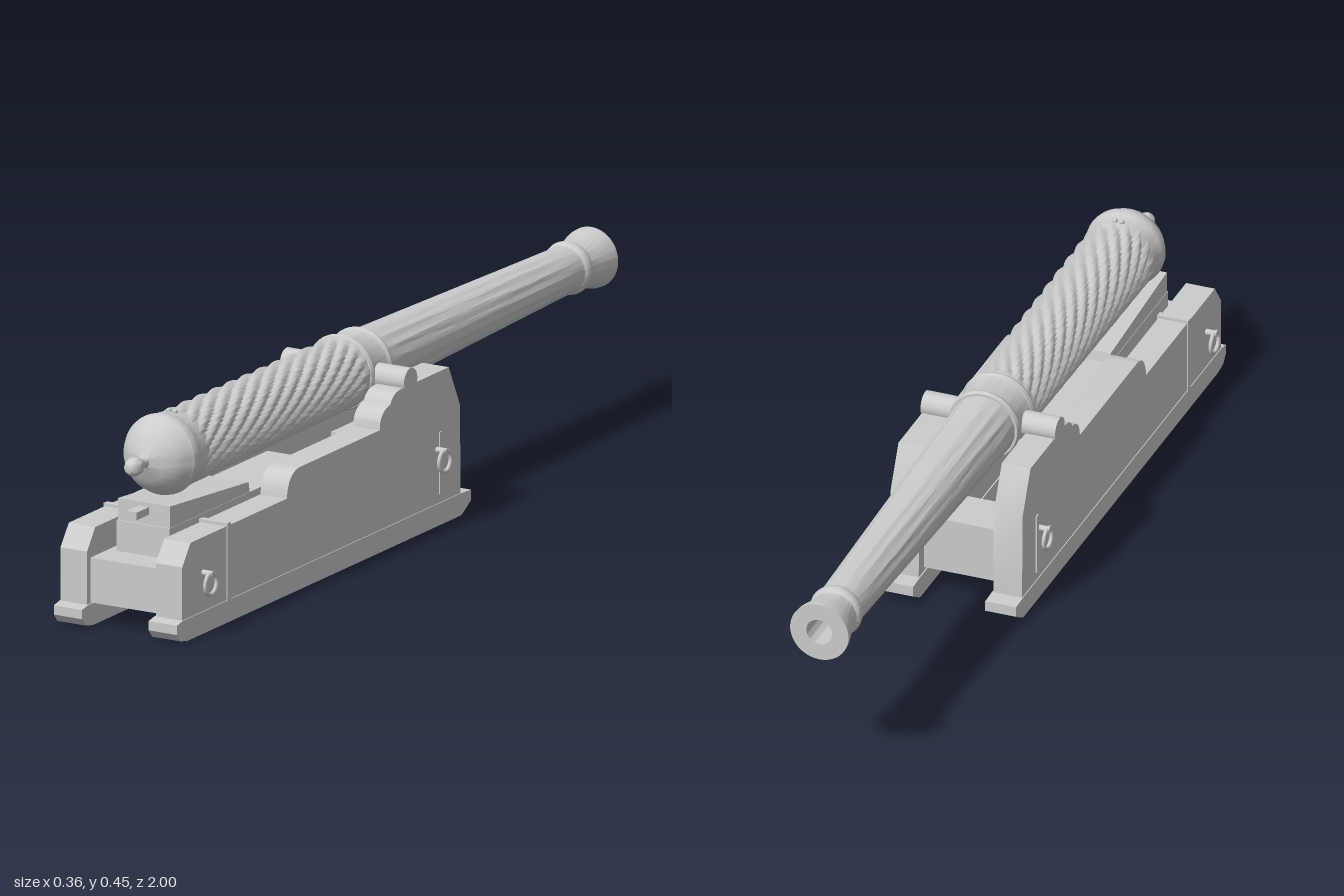
import * as THREE from 'three';
import { toCreasedNormals } from 'three/addons/utils/BufferGeometryUtils.js';

const AXIS_Y = 0.361;

export function createModel() {
  const grey = new THREE.MeshStandardMaterial({ color: 0xcccccc });
  grey.name = 'plain grey';
  const model = new THREE.Group();
  model.name = 'cannon';

  function add(name, geometry, x = 0, y = 0, z = 0, parent = model) {
    const mesh = new THREE.Mesh(geometry, grey);
    mesh.name = name;
    mesh.position.set(x, y, z);
    parent.add(mesh);
    return mesh;
  }
  // box given by its limits
  function box(name, x0, x1, y0, y1, z0, z1, parent) {
    return add(name, new THREE.BoxGeometry(x1 - x0, y1 - y0, z1 - z0),
      (x0 + x1) / 2, (y0 + y1) / 2, (z0 + z1) / 2, parent);
  }
  // turned part along z from [z, radius] pairs; rule(z, angle) scales the radius
  function turned(name, profile, segments = 64, rule = null) {
    const geo = new THREE.LatheGeometry(profile.map(([z, r]) => new THREE.Vector2(r, z)), segments);
    geo.rotateX(Math.PI / 2);
    if (rule) {
      const p = geo.attributes.position;
      for (let i = 0; i < p.count; i++) {
        const k = rule(p.getZ(i), Math.atan2(p.getX(i), p.getY(i)));
        p.setXY(i, p.getX(i) * k, p.getY(i) * k);
      }
    }
    return add(name, toCreasedNormals(geo, 0.6), 0, AXIS_Y, 0);
  }
  // side outline in [z, y], extruded from x0 to x1
  function sidePlate(name, outline, x0, x1, parent) {
    const shape = outline instanceof THREE.Shape ? outline
      : new THREE.Shape(outline.map(([z, y]) => new THREE.Vector2(-z, y)));
    const geo = new THREE.ExtrudeGeometry(shape, { depth: x1 - x0, bevelEnabled: false, curveSegments: 10 });
    geo.rotateY(Math.PI / 2);
    return add(name, toCreasedNormals(geo, 0.5), x0, 0, 0, parent);
  }
  // straight run of [z, radius] rows
  function rows(z0, r0, z1, r1, n) {
    return Array.from({ length: n + 1 }, (_, i) => [z0 + (z1 - z0) * i / n, r0 + (r1 - r0) * i / n]);
  }

  // Barrel: muzzle with bore, fluted chase, middle ring, twisted breech half
  turned('muzzle', [[-0.8, 0], [-0.8, 0.03], [-1, 0.03], [-1, 0.068], [-0.985, 0.067], [-0.95, 0.058],
    [-0.915, 0.053], [-0.91, 0.058], [-0.9, 0.06], [-0.89, 0.058], [-0.885, 0.053], [-0.87, 0.052]]);
  turned('flutedChase', rows(-0.88, 0.053, -0.02, 0.074, 30), 160, (z, a) => {
    const fade = Math.min(1, (z + 0.88) / 0.15, (-0.02 - z) / 0.08);
    return 1 - 0.045 * Math.max(0, fade) * (0.5 + 0.5 * Math.cos(16 * a));
  });
  turned('middleRing', [[-0.035, 0.07], [-0.035, 0.079], [-0.027, 0.082], [-0.019, 0.079], [-0.018, 0.078],
    [0.043, 0.08], [0.044, 0.082], [0.052, 0.085], [0.06, 0.082], [0.062, 0.076]]);
  turned('twistedBreech', rows(0.055, 0.08, 0.775, 0.086, 50), 192, (z, a) => {
    const fade = Math.max(0, Math.min(1, (z - 0.055) / 0.03, (0.775 - z) / 0.03));
    return 1 - 0.085 * fade * (1 - Math.abs(Math.sin(8 * (a - 6.2 * z))));
  });
  turned('breechDome', [[0.74, 0.082], [0.765, 0.086], [0.785, 0.086], [0.79, 0.089], [0.803, 0.091], [0.815, 0.089],
    [0.818, 0.086], [0.835, 0.079], [0.853, 0.064], [0.866, 0.045], [0.874, 0.024], [0.88, 0.013], [0.89, 0.011],
    [0.9, 0.014], [0.913, 0.02], [0.925, 0.021], [0.937, 0.016], [0.944, 0.008], [0.946, 0]]);
  for (const x of [-0.008, 0.008]) {
    add('ventLug', new THREE.SphereGeometry(0.006, 12, 8), x, AXIS_Y + 0.087, 0.762);
  }

  // Trunnions
  const trunnion = new THREE.CylinderGeometry(0.028, 0.028, 0.314, 32);
  trunnion.rotateZ(Math.PI / 2);
  add('trunnions', trunnion, 0, 0.357, 0.02);

  // Cheek outline with stepped, curved top
  const cheek = new THREE.Shape();
  cheek.moveTo(-0.975, 0.04);
  cheek.lineTo(-0.975, 0.17);
  cheek.lineTo(-0.94, 0.217);
  cheek.lineTo(-0.535, 0.217);
  cheek.quadraticCurveTo(-0.53, 0.273, -0.48, 0.275);
  cheek.lineTo(-0.145, 0.275);
  cheek.quadraticCurveTo(-0.145, 0.315, -0.1, 0.322);
  cheek.quadraticCurveTo(-0.09, 0.345, -0.055, 0.346);
  cheek.lineTo(0.145, 0.346);
  cheek.lineTo(0.192, 0.25);
  cheek.lineTo(0.195, 0.04);
  const runner = [[1, 0.045], [0.975, 0.05], [-0.195, 0.05], [-0.235, 0.048], [-0.235, 0.024],
    [-0.2, 0.003], [-0.19, 0], [0.955, 0], [0.985, 0.006], [1, 0.024]];

  for (const s of [-1, 1]) {
    const side = new THREE.Group();
    side.name = s > 0 ? 'leftCheek' : 'rightCheek';
    model.add(side);
    const span = (a, b) => (s > 0 ? [a, b] : [-b, -a]);
    sidePlate('cheek', cheek, ...span(0.087, 0.154), side);
    sidePlate('runner', runner, ...span(0.084, 0.156), side);
    box('ironBand', ...span(0.085, 0.157), 0.048, 0.224, 0.775, 0.79, side);
    box('ironStrap', ...span(0.15, 0.157), 0.07, 0.21, -0.115, -0.103, side);

    // Hanging rings on eyebolts
    for (const [z, y] of [[0.888, 0.115], [-0.095, 0.15]]) {
      const bolt = new THREE.CylinderGeometry(0.007, 0.007, 0.03, 12);
      bolt.rotateZ(Math.PI / 2);
      add('eyebolt', bolt, s * 0.165, y + 0.022, z, side);
      const ring = new THREE.TorusGeometry(0.024, 0.0045, 10, 32);
      ring.rotateY(Math.PI / 2);
      add('ring', ring, s * 0.174, y, z, side);
    }
  }

  // Cross pieces, bed and elevating wedge
  box('frontTransom', -0.09, 0.09, 0.052, 0.153, 0.76, 0.96);
  box('rearTransom', -0.09, 0.09, 0.06, 0.188, -0.165, -0.05);
  box('bed', -0.067, 0.067, 0.15, 0.222, 0.25, 0.885);
  sidePlate('wedge', [[0.88, 0.22], [0.88, 0.271], [0.55, 0.245], [0.545, 0.22]], -0.066, 0.066);
  box('wedgeHandle', -0.013, 0.013, 0.245, 0.262, 0.87, 0.932);

  return model;
}
